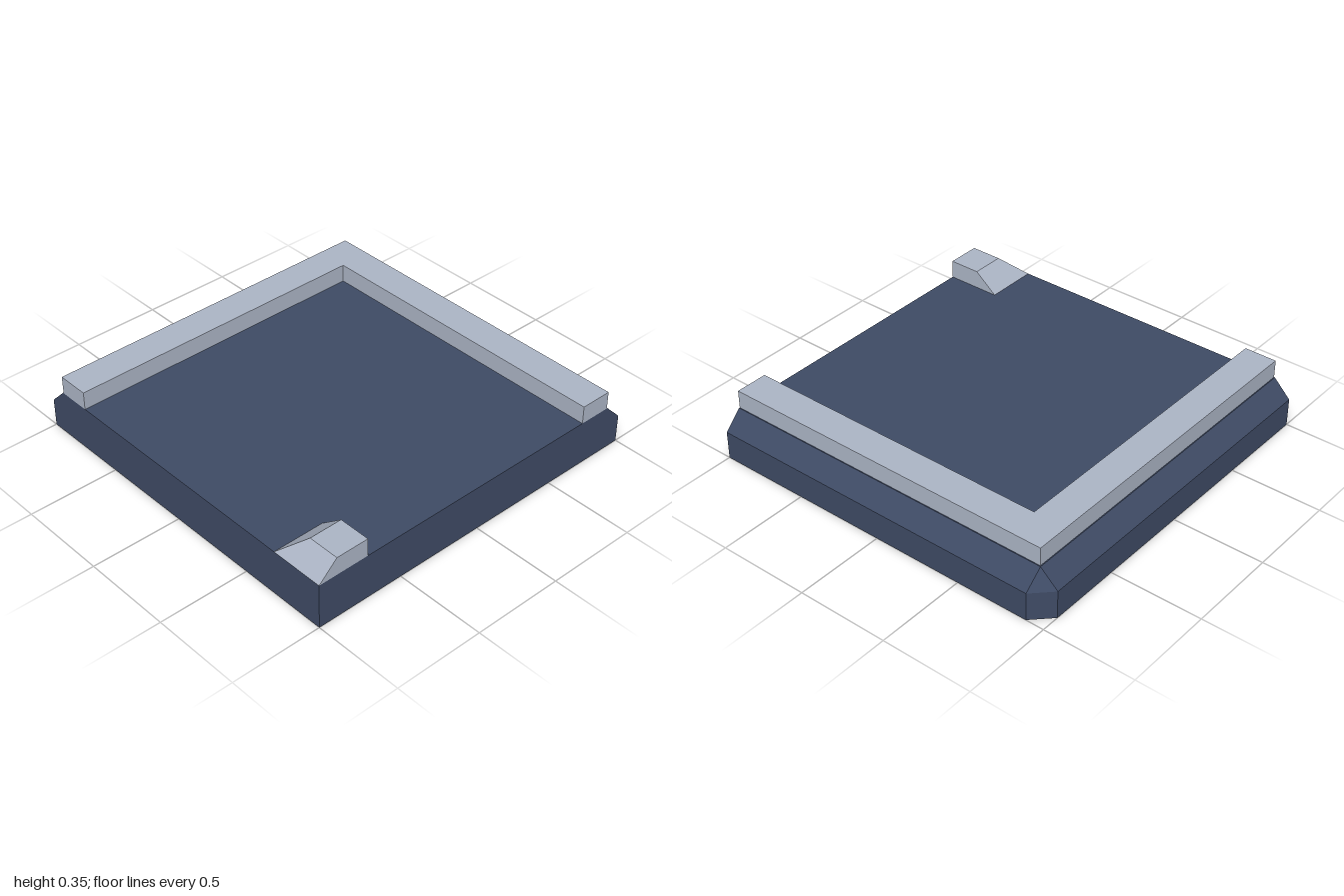
import * as THREE from 'three';
import { ConvexGeometry } from 'three/addons/geometries/ConvexGeometry.js';

const TOP = 0.25; // height of the slab surface
const CAP = 0.35; // height of the raised parts
const SIDE = 0.155; // where the slab bevel starts

// Flat-faced solid from its corner points
function solid(name, corners, material) {
  const points = corners.map((c) => new THREE.Vector3(...c));
  const mesh = new THREE.Mesh(new ConvexGeometry(points), material);
  mesh.name = name;
  return mesh;
}

export function createModel() {
  const group = new THREE.Group();
  group.name = 'cornerTile';

  const navy = new THREE.MeshStandardMaterial({ color: 0x3e4a64 });
  navy.name = 'navy';
  const paleGrey = new THREE.MeshStandardMaterial({ color: 0xabb4c4 });
  paleGrey.name = 'paleGrey';

  // Slab: bevelled along the back and right edges, clipped at their corner
  const outline = [[-1, -0.9], [-0.9, -1], [1, -1], [1, 1], [-1, 1]];
  const slabCorners = [
    ...outline.map(([x, z]) => [x, 0, z]),
    ...outline.filter(([x, z]) => x + z < 2).map(([x, z]) => [x, SIDE, z]),
    ...[[-0.905, -0.905], [1, -0.905], [1, 1], [-0.905, 1]].map(([x, z]) => [x, TOP, z]),
  ];
  group.add(solid('slab', slabCorners, navy));

  // L-shaped rail along the two bevelled edges
  const shape = new THREE.Shape(
    [[-0.9, -1], [-0.72, -1], [-0.72, 0.72], [1, 0.72], [1, 0.9], [-0.9, 0.9]]
      .map(([x, y]) => new THREE.Vector2(x, y))
  );
  const railGeometry = new THREE.ExtrudeGeometry(shape, { depth: CAP - TOP, bevelEnabled: false });
  railGeometry.rotateX(-Math.PI / 2).translate(0, TOP, 0);
  const rail = new THREE.Mesh(railGeometry, paleGrey);
  rail.name = 'rail';
  group.add(rail);

  // Corner block: sloped to the front and to the right, upright elsewhere
  const blockCorners = [
    ...[[0.7, 0.71], [1, 0.71], [1, 1], [0.7, 1]].map(([x, z]) => [x, TOP, z]),
    ...[[0.825, 0.71], [1, 0.71], [1, 0.895], [0.825, 0.895]].map(([x, z]) => [x, CAP, z]),
  ];
  group.add(solid('cornerBlock', blockCorners, paleGrey));

  return group;
}
